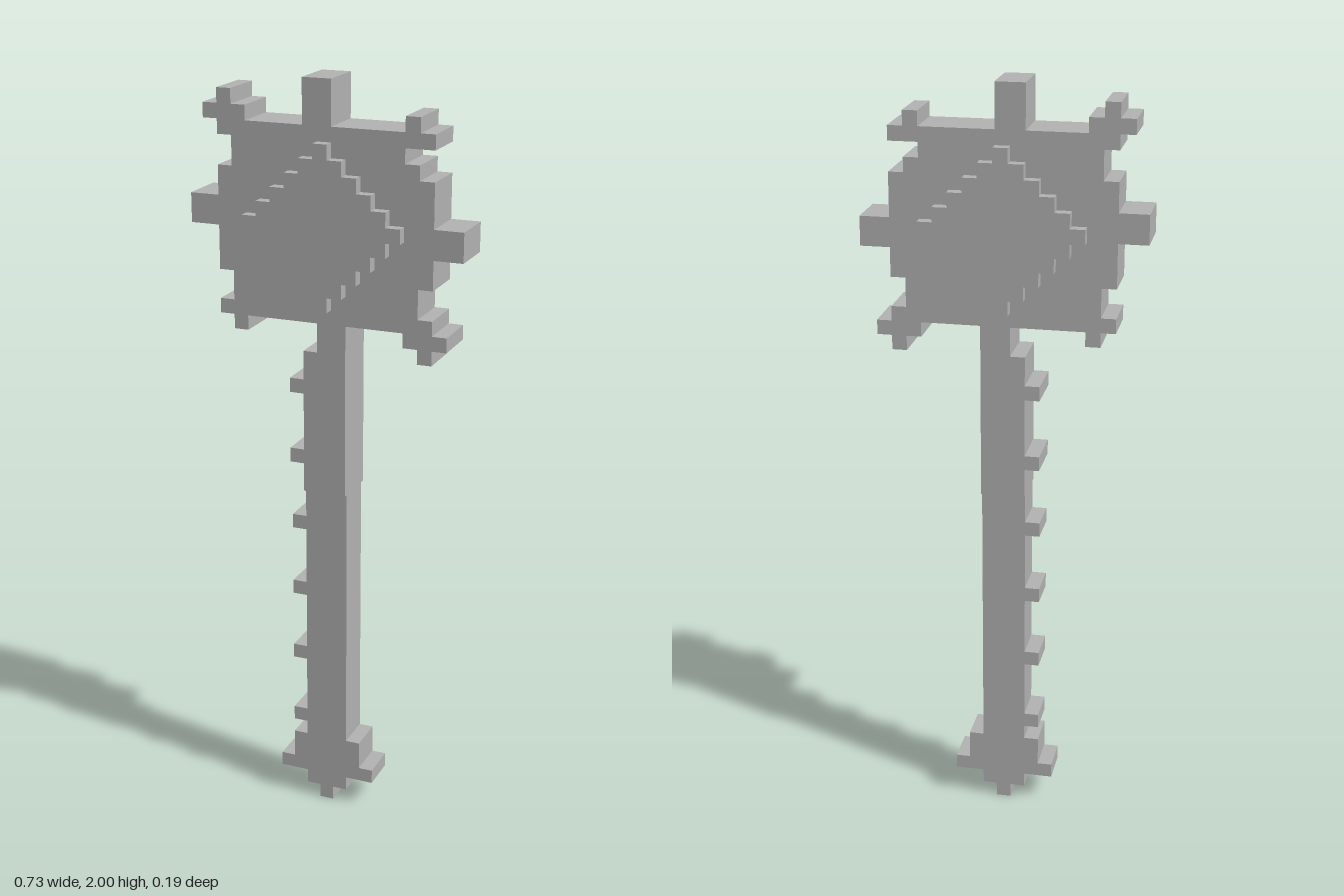
import * as THREE from 'three';

const U = 2 / 52;            // one grid cell
const MID = 9.5;             // grid column lying on x = 0
const HEAD_Z = 0.064, GRIP_Z = 0.0515, GEM_Z = 0.093; // half depths

const stone = new THREE.MeshStandardMaterial({ color: 0xb2b2b2 });
stone.name = 'grey stone';

// Slab from stacked rows, bottom up: [bottom, top, left, right] in grid cells
function slab(name, rows, halfDepth) {
  const right = [], left = [];
  for (const [y0, y1, x0, x1] of rows) {
    right.push([x1, y0], [x1, y1]);
    left.push([x0, y0], [x0, y1]);
  }
  const outline = [...right, ...left.reverse()]
    .map(([x, y]) => new THREE.Vector2((x - MID) * U, y * U))
    .filter((p, i, a) => i === 0 || !p.equals(a[i - 1]));
  const geometry = new THREE.ExtrudeGeometry(new THREE.Shape(outline), {
    depth: halfDepth * 2, bevelEnabled: false,
  });
  geometry.translate(0, 0, -halfDepth);
  const mesh = new THREE.Mesh(geometry, stone);
  mesh.name = name;
  return mesh;
}

export function createModel() {
  const model = new THREE.Group();
  model.name = 'mace';

  // Stepped pommel and grip
  model.add(slab('pommel', [
    [0, 1, 9, 10], [1, 2, 8, 11], [2, 3, 6, 13], [3, 5, 7, 12],
  ], GRIP_Z));
  model.add(slab('lowerHandle', [[5, 24, 8, 11]], GRIP_Z));
  model.add(slab('upperHandle', [[24, 34, 8, 11], [34, 36, 9, 11]], HEAD_Z));

  // Evenly spaced nubs along one edge of the handle
  for (let y = 6; y <= 31; y += 5) {
    model.add(slab('handleNub', [[y, y + 1, 7, 8]], y < 24 ? GRIP_Z : HEAD_Z));
  }

  // Head block with its side spikes
  model.add(slab('head', [
    [36, 37, 2, 17], [37, 39, 3, 16], [39, 41, 2, 17], [41, 42, 2, 19],
    [42, 43, 0, 19], [43, 44, 0, 17], [44, 46, 2, 17], [46, 47, 3, 16],
    [47, 48, 3, 15], [48, 49, 2, 17],
  ], HEAD_Z));

  // Top spike and corner barbs
  model.add(slab('topSpike', [[49, 52, 8, 10]], HEAD_Z));
  model.add(slab('upperRightBarb', [[49, 50, 1, 4], [50, 51, 2, 3]], HEAD_Z));
  model.add(slab('upperLeftBarb', [[49, 50, 15, 16]], HEAD_Z));
  model.add(slab('lowerRightBarb', [[35, 36, 3, 4]], HEAD_Z));
  model.add(slab('lowerLeftBarb', [[34, 35, 16, 17], [35, 36, 15, 18]], HEAD_Z));

  // Stepped diamond raised on both faces
  const diamond = [];
  for (let i = -5; i <= 5; i++) {
    const half = 5.5 - Math.abs(i);
    diamond.push([42 + i, 43 + i, MID - half, MID + half]);
  }
  model.add(slab('diamondBoss', diamond, GEM_Z));

  return model;
}
